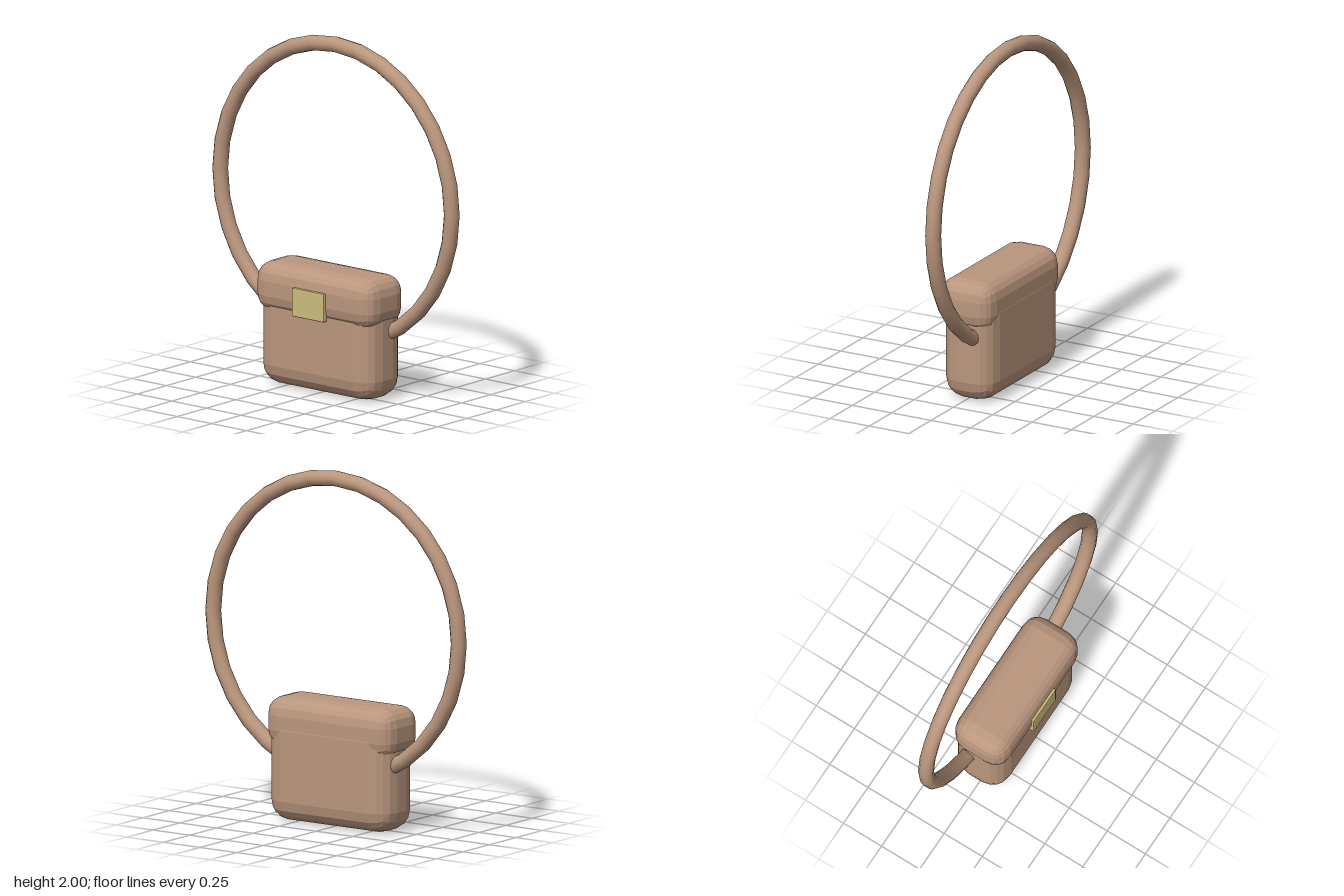
import * as THREE from 'three';
import { RoundedBoxGeometry } from 'three/addons/geometries/RoundedBoxGeometry.js';

export function createModel() {
  const bag = new THREE.Group();
  bag.name = 'handbag';

  const leather = new THREE.MeshStandardMaterial({ color: 0xba967d, flatShading: true });
  leather.name = 'tan leather';
  const strapLeather = new THREE.MeshStandardMaterial({ color: 0xba967d });
  strapLeather.name = 'smooth tan leather';
  const brass = new THREE.MeshStandardMaterial({ color: 0xcdbc7c, flatShading: true });
  brass.name = 'pale brass';

  // Rounded block given by its lower and upper corners, symmetric in x
  function block(name, halfWidth, [y0, y1], [z0, z1], radius, segments, material) {
    const geometry = new RoundedBoxGeometry(halfWidth * 2, y1 - y0, z1 - z0, segments, radius);
    const mesh = new THREE.Mesh(geometry, material);
    mesh.name = name;
    mesh.position.set(0, (y0 + y1) / 2, (z0 + z1) / 2);
    bag.add(mesh);
  }

  // Pouch, overhanging flap and front clasp
  block('body', 0.415, [0, 0.64], [-0.179, 0.145], 0.12, 2, leather);
  block('flap', 0.428, [0.415, 0.7], [-0.178, 0.164], 0.1, 2, leather);
  block('clasp', 0.115, [0.435, 0.598], [0.15, 0.18], 0.007, 1, brass);

  // Hoop strap, its lowest part hidden inside the pouch
  const strap = new THREE.Mesh(new THREE.TorusGeometry(0.837, 0.044, 12, 32), strapLeather);
  strap.name = 'strap';
  strap.position.set(0, 1.119, -0.063);
  bag.add(strap);

  return bag;
}
